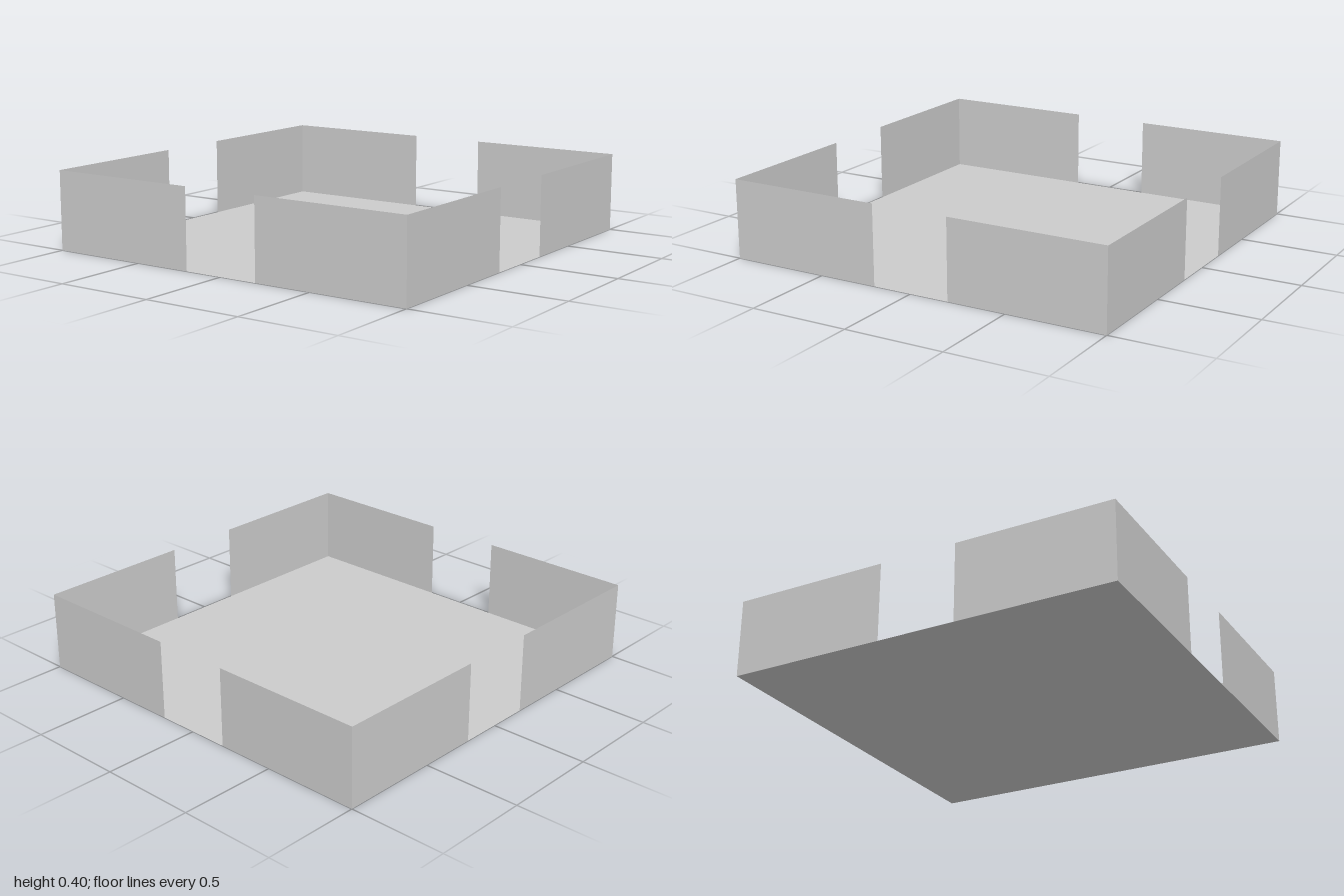
import * as THREE from 'three';

export function createModel() {
  const model = new THREE.Group();
  model.name = 'walledTray';

  const grey = new THREE.MeshStandardMaterial({ color: 0xcccccc, side: THREE.DoubleSide });
  grey.name = 'lightGrey';

  const half = 1;        // half the floor width
  const wallLength = 0.8;
  const wallHeight = 0.4;

  // Square floor sheet
  const floor = new THREE.Mesh(new THREE.PlaneGeometry(2 * half, 2 * half).rotateX(-Math.PI / 2), grey);
  floor.name = 'floor';
  model.add(floor);

  // Two wall panels per side, leaving a doorway in the middle of each
  const panel = new THREE.PlaneGeometry(wallLength, wallHeight).translate(0, wallHeight / 2, half);
  ['front', 'left', 'back', 'right'].forEach((name, i) => {
    const side = new THREE.Group();
    side.name = `${name}Wall`;
    side.rotation.y = i * Math.PI / 2;
    for (const s of [-1, 1]) {
      const wall = new THREE.Mesh(panel, grey);
      wall.name = `${name}WallPanel${s < 0 ? 'A' : 'B'}`;
      wall.position.x = s * (half - wallLength / 2);
      side.add(wall);
    }
    model.add(side);
  });

  return model;
}
